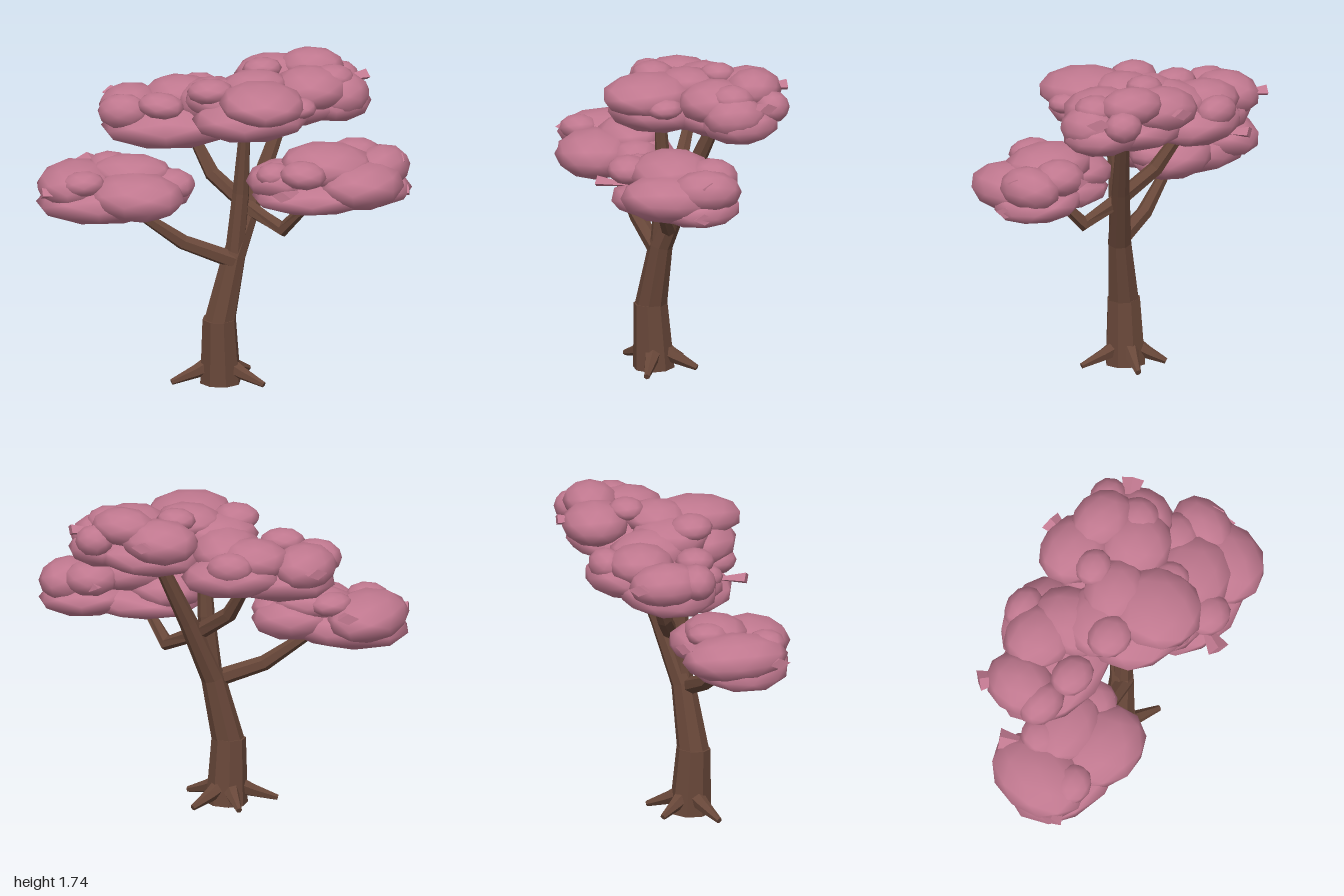
import * as THREE from 'three';
import { mergeVertices } from 'three/addons/utils/BufferGeometryUtils.js';

const bark = new THREE.MeshStandardMaterial({ color: 0x684739 });
bark.name = 'brown bark';
const blossom = new THREE.MeshStandardMaterial({ color: 0xc0788f });
blossom.name = 'pink blossom';

// Faceted tapering limb through stations [x, y, z, radius]
function limb(name, stations, sides = 8) {
  const pts = stations.map(s => new THREE.Vector3(s[0], s[1], s[2]));
  const n = pts.length, pos = [], idx = [];
  const first = pts[1].clone().sub(pts[0]).normalize();
  const ref = Math.abs(first.z) > 0.8 ? new THREE.Vector3(1, 0, 0) : new THREE.Vector3(0, 0, 1);
  pts.forEach((p, i) => {
    const t = pts[Math.min(i + 1, n - 1)].clone().sub(pts[Math.max(i - 1, 0)]).normalize();
    const u = ref.clone().addScaledVector(t, -ref.dot(t)).normalize();
    const v = t.clone().cross(u);
    for (let j = 0; j < sides; j++) {
      const a = ((j + 0.5) / sides) * Math.PI * 2;
      const q = p.clone().addScaledVector(u, Math.cos(a) * stations[i][3]).addScaledVector(v, Math.sin(a) * stations[i][3]);
      pos.push(q.x, Math.max(q.y, 0), q.z);
    }
  });
  for (let i = 0; i < n - 1; i++) {
    for (let j = 0; j < sides; j++) {
      const a = i * sides + j, b = i * sides + (j + 1) % sides;
      idx.push(a, b, b + sides, a, b + sides, a + sides);
    }
  }
  // End caps
  for (let j = 1; j < sides - 1; j++) {
    const e = (n - 1) * sides;
    idx.push(0, j + 1, j, e, e + j, e + j + 1);
  }
  let g = new THREE.BufferGeometry();
  g.setAttribute('position', new THREE.Float32BufferAttribute(pos, 3));
  g.setIndex(idx);
  g = g.toNonIndexed();
  g.computeVertexNormals();
  const m = new THREE.Mesh(g, bark);
  m.name = name;
  return m;
}

// Coarse sphere with smooth normals, shared by all leaf clumps
function clumpGeometry() {
  let g = new THREE.IcosahedronGeometry(1.06, 1);
  g.deleteAttribute('uv');
  g.deleteAttribute('normal');
  g = mergeVertices(g, 1e-3);
  g.computeVertexNormals();
  return g;
}

// Clumps are [x, y, z, rx, ry, rz]
const canopies = {
  lowerRightCanopy: [
    [-0.63, 1.03, 0.23, 0.35, 0.11, 0.26], [-0.4, 1.07, 0.12, 0.22, 0.11, 0.2],
    [-0.79, 1.1, 0.18, 0.2, 0.115, 0.27], [-0.45, 1.08, 0.33, 0.25, 0.12, 0.21],
    [-0.5, 1.16, 0.14, 0.21, 0.085, 0.16], [-0.73, 1.15, 0.36, 0.11, 0.065, 0.1],
    [-0.62, 1.18, 0.07, 0.11, 0.06, 0.11], [-0.3, 1.1, 0.15, 0.14, 0.08, 0.13],
  ],
  lowerLeftCanopy: [
    [0.51, 1.09, 0.17, 0.34, 0.09, 0.27], [0.74, 1.1, 0.04, 0.24, 0.09, 0.22],
    [0.74, 1.15, 0.19, 0.22, 0.12, 0.25], [0.83, 1.2, 0.01, 0.14, 0.11, 0.18],
    [0.55, 1.24, 0.14, 0.24, 0.105, 0.21], [0.33, 1.16, 0.16, 0.2, 0.1, 0.2],
    [0.45, 1.24, 0.35, 0.12, 0.07, 0.11], [0.28, 1.21, 0.26, 0.09, 0.06, 0.09],
    [0.68, 1.24, -0.06, 0.14, 0.09, 0.13],
  ],
  upperRightCanopy: [
    [-0.31, 1.37, -0.09, 0.36, 0.115, 0.26], [-0.18, 1.4, -0.28, 0.26, 0.105, 0.2],
    [-0.54, 1.45, -0.14, 0.16, 0.11, 0.19], [-0.28, 1.49, -0.22, 0.19, 0.1, 0.17],
    [-0.2, 1.48, -0.39, 0.12, 0.08, 0.09], [-0.1, 1.49, -0.13, 0.18, 0.12, 0.22],
    [-0.35, 1.51, 0.06, 0.12, 0.065, 0.1], [-0.56, 1.46, 0.02, 0.13, 0.09, 0.1],
  ],
  upperFrontCanopy: [
    [0.14, 1.48, 0.12, 0.3, 0.11, 0.26], [0.21, 1.58, 0.19, 0.22, 0.1, 0.24],
    [-0.08, 1.61, 0.1, 0.12, 0.065, 0.11], [0, 1.54, 0.0, 0.22, 0.1, 0.2],
    [0.41, 1.55, 0.14, 0.08, 0.05, 0.09], [0.14, 1.61, -0.04, 0.17, 0.08, 0.16],
  ],
  upperBackCanopy: [
    [0.31, 1.47, -0.21, 0.29, 0.1, 0.27], [0.54, 1.49, -0.24, 0.19, 0.1, 0.2],
    [0.2, 1.58, -0.36, 0.2, 0.11, 0.17], [0.41, 1.64, -0.34, 0.17, 0.095, 0.14],
    [0.43, 1.58, -0.13, 0.19, 0.11, 0.19], [0.16, 1.66, -0.2, 0.1, 0.055, 0.09],
    [0.55, 1.57, -0.41, 0.1, 0.08, 0.09], [0.59, 1.53, -0.2, 0.14, 0.11, 0.16],
    [0.54, 1.62, -0.2, 0.11, 0.07, 0.11],
  ],
};

// Leaf tufts flaring outwards: outer end x, y, z and the canopy centre x, z they point to
const tufts = [
  [-0.67, 1.47, -0.32, -0.4, -0.1], [-0.77, 1.16, -0.1, -0.6, 0.2], [-0.95, 1.1, 0.39, -0.6, 0.3],
  [-0.2, 1.13, 0.17, -0.5, 0.2], [0.24, 1.6, -0.56, 0.2, -0.2], [0.7, 1.6, -0.36, 0.4, -0.2],
  [0.98, 1.09, 0.05, 0.6, 0.1], [0.35, 1.16, 0.5, 0.5, 0.15], [0.94, 1.25, 0.0, 0.6, 0.1],
  [0.65, 1.23, -0.18, 0.55, 0.1],
];

export function createModel() {
  const tree = new THREE.Group();
  tree.name = 'tree';

  // Trunk: stout base, then a leaning stem that forks
  tree.add(
    limb('trunkBase', [[-0.025, 0, 0.108, 0.112], [-0.03, 0.36, 0.125, 0.092]]),
    limb('trunk', [[-0.03, 0.33, 0.125, 0.087], [0.045, 0.7, 0.085, 0.065],
      [0.15, 1.03, -0.02, 0.05], [0.29, 1.45, -0.17, 0.034]]),
    limb('frontFork', [[0.045, 0.66, 0.09, 0.056], [0.08, 1.05, 0.075, 0.046], [0.105, 1.42, 0.1, 0.03]]),
    limb('lowerRightBranch', [[0.05, 0.68, 0.11, 0.048], [-0.22, 0.785, 0.155, 0.042], [-0.5, 0.99, 0.22, 0.026]], 6),
    limb('lowerLeftBranch', [[0.09, 0.97, 0.03, 0.045], [0.31, 0.86, 0.1, 0.042], [0.47, 1.05, 0.19, 0.027]], 6),
    limb('upperRightBranch', [[0.1, 0.97, 0.03, 0.044], [-0.09, 1.11, -0.05, 0.042], [-0.21, 1.31, -0.13, 0.03]], 6),
  );

  // Roots
  const tips = [[0.22, 0.2], [0.1, -0.1], [-0.275, 0.21], [-0.15, -0.07]];
  for (const [x, z] of tips) {
    tree.add(limb('root', [[-0.03 + (x + 0.03) * 0.2, 0.1, 0.1 + (z - 0.1) * 0.2, 0.05],
      [-0.03 + (x + 0.03) * 0.5, 0.066, 0.1 + (z - 0.1) * 0.5, 0.036], [x, 0.02, z, 0.016]], 6));
  }

  // Canopies
  const clump = clumpGeometry();
  for (const [name, clumps] of Object.entries(canopies)) {
    const canopy = new THREE.Group();
    canopy.name = name;
    clumps.forEach(([x, y, z, rx, ry, rz], i) => {
      const m = new THREE.Mesh(clump, blossom);
      m.name = 'leafClump';
      m.position.set(x, y, z);
      m.scale.set(rx, ry, rz);
      m.rotation.set(0.05 * Math.sin(i * 2.1), 0.2 * Math.sin(i * 1.7), 0.06 * Math.cos(i * 2.6));
      canopy.add(m);
    });
    tree.add(canopy);
  }

  // Leaf tufts: flattened cones, wide end outwards
  const tuftGeo = new THREE.ConeGeometry(0.06, 0.22, 4).toNonIndexed();
  tuftGeo.translate(0, 0.11, 0);
  tuftGeo.rotateX(Math.PI / 2);
  tuftGeo.scale(1, 0.5, 1);
  tuftGeo.computeVertexNormals();
  for (const [x, y, z, cx, cz] of tufts) {
    const m = new THREE.Mesh(tuftGeo, blossom);
    m.name = 'leafTuft';
    m.position.set(x, y, z);
    m.lookAt(cx, y - 0.03, cz);
    tree.add(m);
  }
  return tree;
}
